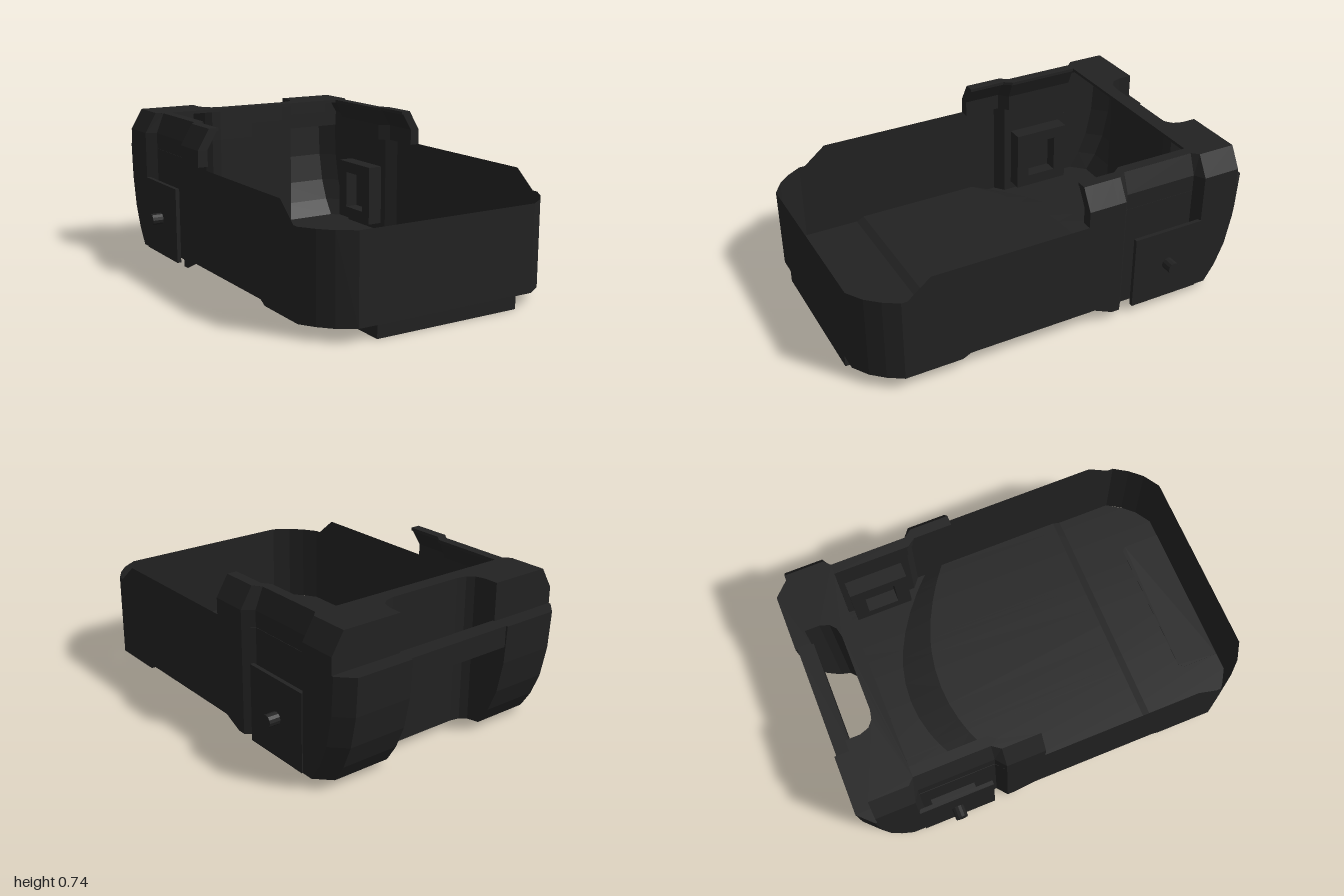
import * as THREE from 'three';

const material = new THREE.MeshStandardMaterial({ color: 0x222222, flatShading: true, side: THREE.DoubleSide });

function add(group, name, geometry, x = 0, y = 0, z = 0) {
  const mesh = new THREE.Mesh(geometry, material);
  mesh.name = name;
  mesh.position.set(x, y, z);
  group.add(mesh);
  return mesh;
}

// Surface skinned through rows of [x, y, z] points of equal length
function skin(rows) {
  const out = [];
  for (let j = 0; j < rows.length - 1; j++) {
    for (let i = 0; i < rows[j].length - 1; i++) {
      const a = rows[j][i], b = rows[j][i + 1], c = rows[j + 1][i + 1], d = rows[j + 1][i];
      out.push(...a, ...b, ...c, ...a, ...c, ...d);
    }
  }
  const g = new THREE.BufferGeometry();
  g.setAttribute('position', new THREE.Float32BufferAttribute(out, 3));
  g.computeVertexNormals();
  return g;
}

const lerp = THREE.MathUtils.lerp;
const flip = (p) => [-p[0], ...p.slice(1)];
const mirrored = (half) => [...half, ...half.slice().reverse().map(flip)];

// Underside: slightly raised middle, with an arched step down to the rear
const stepStart = (x) => -0.4 + 0.25 * (x / 0.64) ** 2;
const stepEnd = (x) => -0.57 + 0.32 * (x / 0.64) ** 2;
function floorY(x, z) {
  if (z >= 0.5) return lerp(0.08, 0.06, Math.min(1, (z - 0.5) / 0.04));
  const a = stepStart(x), b = stepEnd(x);
  return lerp(0.08, 0.035, THREE.MathUtils.clamp((a - z) / (a - b), 0, 1));
}

// Plan of the front half, from the rear of the side round to the centre line
const frontPlan = [[0.64, -0.29], [0.64, -0.25], [0.64, -0.15], [0.64, -0.1], [0.64, 0.5], [0.64, 0.54],
  [0.64, 0.68], [0.64, 0.79], [0.64, 0.82], [0.595, 0.89], [0.54, 0.95], [0.46, 1], [0, 1]];
const rimY = (z) => lerp(0.56, 0.47, THREE.MathUtils.clamp((z - 0.68) / 0.11, 0, 1));

function frontZ(x) {
  const edge = [[0, 1], [0.46, 1], [0.54, 0.95], [0.595, 0.89], [0.64, 0.82]];
  const k = edge.findIndex((p, i) => i > 0 && Math.abs(x) <= p[0] + 1e-6);
  const [a, b] = [edge[k - 1], edge[k]];
  return lerp(a[1], b[1], (Math.abs(x) - a[0]) / (b[0] - a[0]));
}

function floorColumn(x, end) {
  return [frontZ(x), 0.54, 0.5, stepStart(x), stepEnd(x), end].map((z) => [x, floorY(x, z), z]);
}

// Plan of the rear half at one height; back is the z of the rear face
function rearRow(y, back, chamfer, inset) {
  const side = 0.64 - inset, groove = 0.59 - inset * 0.67;
  const half = [[side, -0.1], [side, -0.15], [side, -0.25], [side, -0.29], [groove, -0.33], [groove, -0.7],
    [side, -0.73], [side, back + chamfer], [0.57, back], [0.28, back],
    [0.28, -0.85], [0.265, -0.805], [0.235, -0.78], [0.19, -0.77], [0, -0.77]];
  return mirrored(half.map(([x, z]) => [x, y ?? floorY(x, z), z]));
}

function polygon(points) {
  return new THREE.Shape(points.map(([x, z]) => new THREE.Vector2(x, -z)));
}

export function createModel() {
  const model = new THREE.Group();

  // Front wall of the tub
  add(model, 'frontWall', skin([
    mirrored(frontPlan.map(([x, z]) => [x, floorY(x, z), z])),
    mirrored(frontPlan.map(([x, z]) => [x, rimY(z), z]))]));

  // Rear wall: rounded lower back, ledge, upright top with a chamfered rim
  add(model, 'rearWall', skin([
    rearRow(null, -0.86, 0.07, 0), rearRow(0.12, -0.915, 0.07, 0), rearRow(0.23, -0.96, 0.07, 0),
    rearRow(0.38, -0.99, 0.07, 0), rearRow(0.56, -1, 0.07, 0),
    rearRow(0.56, -0.92, 0, 0), rearRow(0.64, -0.92, 0, 0), rearRow(0.74, -0.92, 0, 0.06)]));

  // Floor, one strip per pair of columns, leaving out the handle gap and side grooves
  const xs = [0, 0.1, 0.19, 0.235, 0.265, 0.28];
  const ends = [-0.77, -0.77, -0.77, -0.78, -0.805, -0.86];
  const centre = xs.map((x, i) => floorColumn(x, ends[i]));
  const outer = [[0.28, -0.86], [0.37, -0.86], [0.46, -0.86], [0.54, -0.86], [0.57, -0.86], [0.59, -0.84]]
    .map(([x, z]) => floorColumn(x, z));
  const edge = [[0.59, -0.33], [0.64, -0.29]].map(([x, z]) => floorColumn(x, z));
  const corner = [[[0.59, 0.035, -0.7], [0.59, 0.035, -0.84]], [[0.64, 0.035, -0.73], [0.64, 0.035, -0.79]]];
  for (const rows of [centre, outer, edge, corner]) {
    add(model, 'floor', skin(rows));
    add(model, 'floor', skin(rows.map((row) => row.map(flip))));
  }

  // Flat rear deck with arms along the sides
  const deckHalf = [[0, -0.77], [0.19, -0.77], [0.235, -0.78], [0.265, -0.805], [0.28, -0.85], [0.28, -0.92],
    [0.58, -0.92], [0.58, -0.73], [0.55, -0.7], [0.55, -0.33], [0.58, -0.29], [0.58, -0.1],
    [0.53, -0.1], [0.53, -0.29], [0.5, -0.33], [0.5, -0.7]];
  const deck = polygon([...deckHalf, ...deckHalf.slice(1).reverse().map(flip)]);
  add(model, 'rearDeck', new THREE.ExtrudeGeometry(deck, { depth: 0.015, bevelEnabled: false })
    .rotateX(-Math.PI / 2), 0, 0.725, 0);

  // Handle bar across the rear gap
  add(model, 'handleBar', new THREE.BoxGeometry(0.58, 0.1, 0.08), 0, 0.51, -0.95);

  // Front foot
  const foot = polygon([[-0.37, 1], [0.37, 1], [0.37, 0.81], [0.35, 0.79], [-0.35, 0.79], [-0.37, 0.81]]);
  add(model, 'frontFoot', new THREE.ExtrudeGeometry(foot, { depth: 0.062, bevelEnabled: false })
    .rotateX(-Math.PI / 2));

  for (const s of [1, -1]) {
    // Inner face of the raised side, closed at its front end
    const inner = [[-0.1, 0], [-0.29, 0], [-0.33, 0.03], [-0.7, 0.03]];
    const at = (x, y, k) => inner.map(([z, d]) => [s * (x - d * k), y, z]);
    add(model, 'sideRib', skin([at(0.64, 0.56, 1.6), at(0.59, 0.56, 1.6), at(0.59, 0.64, 1.6), at(0.53, 0.74, 1)]));
    add(model, 'sideRibEnd', skin([
      [[s * 0.64, 0.56, -0.1], [s * 0.64, 0.64, -0.1], [s * 0.58, 0.74, -0.1]],
      [[s * 0.59, 0.56, -0.1], [s * 0.59, 0.64, -0.1], [s * 0.53, 0.74, -0.1]]]));

    // Side plate with its spacer and peg
    add(model, 'sidePlate', new THREE.BoxGeometry(0.02, 0.375, 0.37), s * 0.635, 0.2225, -0.545);
    add(model, 'plateSpacer', new THREE.BoxGeometry(0.05, 0.26, 0.22), s * 0.605, 0.225, -0.55);
    add(model, 'sidePeg', new THREE.CylinderGeometry(0.03, 0.03, 0.06, 12).rotateZ(Math.PI / 2), s * 0.67, 0.225, -0.55);

    // Rectangular frame on the inside of the wall
    const frame = new THREE.Shape([[-0.15, -0.16], [0.15, -0.16], [0.15, 0.16], [-0.15, 0.16]]
      .map((p) => new THREE.Vector2(...p)));
    frame.holes.push(new THREE.Path([[-0.08, -0.1], [-0.08, 0.1], [0.08, 0.1], [0.08, -0.1]]
      .map((p) => new THREE.Vector2(...p))));
    add(model, 'innerFrame', new THREE.ExtrudeGeometry(frame, { depth: 0.08, bevelEnabled: false })
      .translate(0, 0, -0.04).rotateY(Math.PI / 2), s * 0.55, 0.24, -0.52);
  }
  return model;
}
